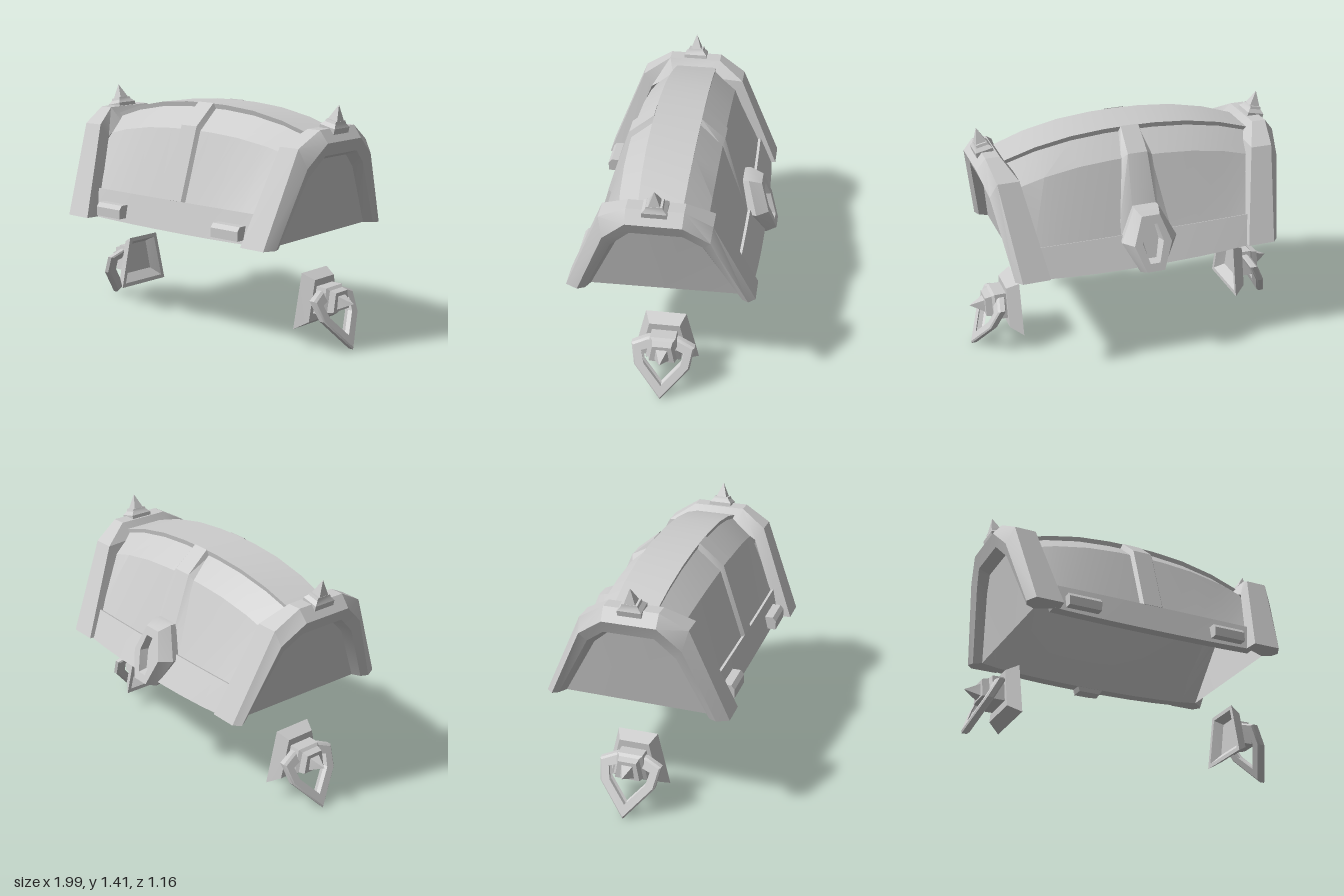
import * as THREE from 'three';
import { toCreasedNormals } from 'three/addons/utils/BufferGeometryUtils.js';

const material = new THREE.MeshStandardMaterial({ color: 0xcccccc, side: THREE.DoubleSide });

function mesh(name, geometry, crease = 0.4) {
  const m = new THREE.Mesh(toCreasedNormals(geometry, crease), material);
  m.name = name;
  return m;
}

// Skins a list of equal-length cross-sections; faces are turned outward by signed volume.
function loft(rings, { closed = true, loop = false, caps = true } = {}) {
  const tris = [];
  const n = rings[0].length, count = rings.length;
  for (let r = 0; r < (loop ? count : count - 1); r++) {
    const a = rings[r], b = rings[(r + 1) % count];
    for (let i = 0; i < (closed ? n : n - 1); i++) {
      const j = (i + 1) % n;
      tris.push([a[i], a[j], b[j]], [a[i], b[j], b[i]]);
    }
  }
  if (caps && !loop) {
    const f = rings[0], l = rings[count - 1];
    for (let i = 1; i < n - 1; i++) tris.push([f[0], f[i + 1], f[i]], [l[0], l[i], l[i + 1]]);
  }
  const all = rings.flat();
  const c = [0, 1, 2].map(k => all.reduce((s, p) => s + p[k], 0) / all.length);
  const v = p => new THREE.Vector3(p[0] - c[0], p[1] - c[1], p[2] - c[2]);
  const volume = tris.reduce((s, t) => s + v(t[0]).dot(v(t[1]).cross(v(t[2]))), 0);
  if (volume < 0) tris.forEach(t => t.reverse());
  const g = new THREE.BufferGeometry();
  g.setAttribute('position', new THREE.Float32BufferAttribute(tris.flat(2), 3));
  return g;
}

// Lid profile from front to back as [z, y], at the middle and at the ends.
const middle = [[.5, .64], [.46, .82], [.32, 1.25], [.17, 1.375], [-.11, 1.37], [-.25, 1.25], [-.42, .82], [-.51, .64]];
const end = [[.5, .65], [.455, .82], [.28, 1.15], [.15, 1.25], [-.1, 1.25], [-.24, 1.14], [-.41, .82], [-.49, .655]];
const endX = [.65, .68, .75, .77, .77, .75, .68, .65];

// Point on the lid: u runs -1..1 across, i is the profile station, s shrinks inward.
function lidPoint(u, i, s) {
  const bulge = 1 - Math.pow(Math.abs(u), 2.4);
  const mix = k => end[i][k] + (middle[i][k] - end[i][k]) * bulge;
  return [u * endX[i], .65 + (mix(1) - .65) * s, mix(0) * s];
}

function lidBody() {
  // Raised bands with sunken panels between, then the inside of the shell.
  const rows = [[0, 1], [1, 1], [1, .96], [2, .96], [3, .96], [3, 1], [4, 1], [4, .96], [5, .96], [6, .96], [6, 1], [7, 1],
    [7, .87], [6, .88], [5, .89], [4, .9], [3, .9], [2, .89], [1, .88], [0, .87]];
  const us = [-1, -.75, -.47, -.2, 0, .2, .47, .75, 1];
  return loft(rows.map(([i, s]) => us.map(u => lidPoint(u, i, s))), { closed: false, loop: true });
}

// Centre strap: bevelled bar following the lid between two stations.
function strap(stations, top, base) {
  return loft(stations.map((i, k) => {
    const at = (x, s) => [x, ...lidPoint(0, i, s).slice(1)];
    return [at(-base[k], .95), at(-top[k], 1.004), at(top[k], 1.004), at(base[k], .95)];
  }));
}

// End rim on the +x side: six stations, each with a bevelled section.
function endRim() {
  const ridge = [[.58, .65], [.36, 1.2], [.2, 1.29], [-.12, 1.29], [-.275, 1.19], [-.515, .66]];
  const bevel = [[.51, .65], [.335, 1.09], [.2, 1.22], [-.115, 1.22], [-.265, 1.11], [-.475, .66]];
  const lip = [[.465, .65], [.295, 1.03], [.18, 1.145], [-.115, 1.145], [-.225, 1.06], [-.44, .66]];
  const panel = [[.44, .65], [.275, 1.01], [.17, 1.115], [-.11, 1.115], [-.205, 1.03], [-.41, .66]];
  const xs = [[.61, .62, .785, .82, .8, .75], [.7, .72, .85, .895, .87, .81], [.72, .79, .875, .93, .9, .83]];
  const pick = [0, 1, 2, 2, 1, 0];
  const edge = [];
  const rings = ridge.map(([z, y], i) => {
    const x = xs[pick[i]];
    edge.push([x[5], panel[i][1], panel[i][0]]);
    return [[x[0], .65 + (y - .65) * .86, z * .86], [x[1], y, z], [x[2], y, z],
      [x[3], bevel[i][1], bevel[i][0]], [x[4], lip[i][1], lip[i][0]], edge[i]];
  });
  const g = new THREE.Group();
  g.name = 'endRim';
  g.add(mesh('rimArch', loft(rings)));
  g.add(mesh('endPanel', loft([edge, edge.map(() => [.75, .655, .01])], { closed: false, caps: false })));
  return g;
}

// Stepped pyramid; each level is [height, half width].
function stud(levels) {
  return loft(levels.map(([y, w]) => [[-w, y, -w], [w, y, -w], [w, y, w], [-w, y, w]]));
}

// Lock plate on the back with a sunken keyhole.
function lock() {
  const ring = (w, mid, bottom, top, depth) =>
    [[w[0], top], [w[1], mid], [w[2], bottom], [-w[2], bottom], [-w[1], mid], [-w[0], top]]
      .map(([x, y]) => [x, y, -.475 - (.955 - y) * .32 + depth]);
  return loft([
    ring([.07, .16, .07], .79, .615, .97, .13),
    ring([.075, .17, .075], .79, .612, .975, .07),
    ring([.055, .115, .055], .79, .635, .95, 0),
    ring([.035, .065, .03], .8, .68, .9, 0),
    ring([.03, .05, .025], .8, .69, .89, .05),
  ]);
}

// Side handle on +x: hollow plate, stepped block with spike, hanging ring.
function handle() {
  const g = new THREE.Group();
  g.name = 'sideHandle';
  const block = levels => loft(levels.map(([x, top, bottom, zt, zb]) =>
    [[x, top, .01 - zt], [x, top, .01 + zt], [x, bottom, .01 + zb], [x, bottom, .01 - zb]]));
  g.add(mesh('handlePlate', block([[.755, .38, .19, .07, .11], [.705, .41, .14, .1, .165],
    [.705, .435, .115, .12, .195], [.78, .4, .16, .09, .145]])));
  g.add(mesh('handleBoss', block([[.77, .36, .205, .075, .105], [.85, .36, .205, .075, .105],
    [.865, .345, .22, .06, .085], [.905, .335, .225, .055, .075]])));
  g.add(mesh('handleSpike', block([[.9, .315, .235, .035, .045], [.99, .277, .275, .001, .001]])));

  const outline = half => [...half, ...half.slice().reverse().filter(p => p[0] > 0).map(([z, y]) => [-z, y])]
    .map(p => new THREE.Vector2(...p));
  const shape = new THREE.Shape(outline([[.09, .33], [.175, .295], [.155, .19], [0, .02]]));
  shape.holes.push(new THREE.Path(outline([[.08, .285], [.125, .27], [.108, .2], [0, .085]])));
  const ring = new THREE.ExtrudeGeometry(shape, { depth: .03, bevelSize: .01, bevelThickness: .01, bevelSegments: 1 });
  const p = ring.attributes.position;
  for (let i = 0; i < p.count; i++) {
    const s = p.getX(i), y = p.getY(i), d = p.getZ(i);
    p.setXYZ(i, .8 + d + (.33 - y) * .5, y, .01 - s);
  }
  g.add(mesh('handleRing', ring));
  return g;
}

export function createModel() {
  const model = new THREE.Group();
  model.name = 'chestLid';
  model.add(mesh('lidBody', lidBody()));
  model.add(mesh('frontStrap', strap([1, 2, 3], [.06, .06, .06], [.08, .08, .075])));
  model.add(mesh('backStrap', strap([4, 5, 6], [.055, .06, .08], [.07, .1, .17])));
  model.add(mesh('lockPlate', lock()));

  for (const side of [1, -1]) {
    const half = new THREE.Group();
    half.name = side > 0 ? 'leftSide' : 'rightSide';
    half.scale.x = side;
    half.add(endRim(), handle());

    // Spike on top of the rim, leaning outward
    const spike = new THREE.Group();
    spike.name = 'rimSpike';
    spike.add(mesh('spikeBase', stud([[-.03, .07], [.025, .07], [.045, .05], [.06, .045]]).scale(.75, 1, 1)));
    spike.add(mesh('spikeTip', stud([[.05, .036], [.145, .001]])));
    spike.position.set(.852, 1.275, .04);
    spike.rotation.z = -.22;
    half.add(spike);

    // Hinge block at the front lower band
    const hinge = loft([[.37], [.57]].map(([x]) =>
      [[x, .67, .47], [x, .67, .545], [x, .725, .545], [x, .75, .525], [x, .75, .45]]));
    half.add(mesh('hingeBlock', hinge));
    model.add(half);
  }
  return model;
}
